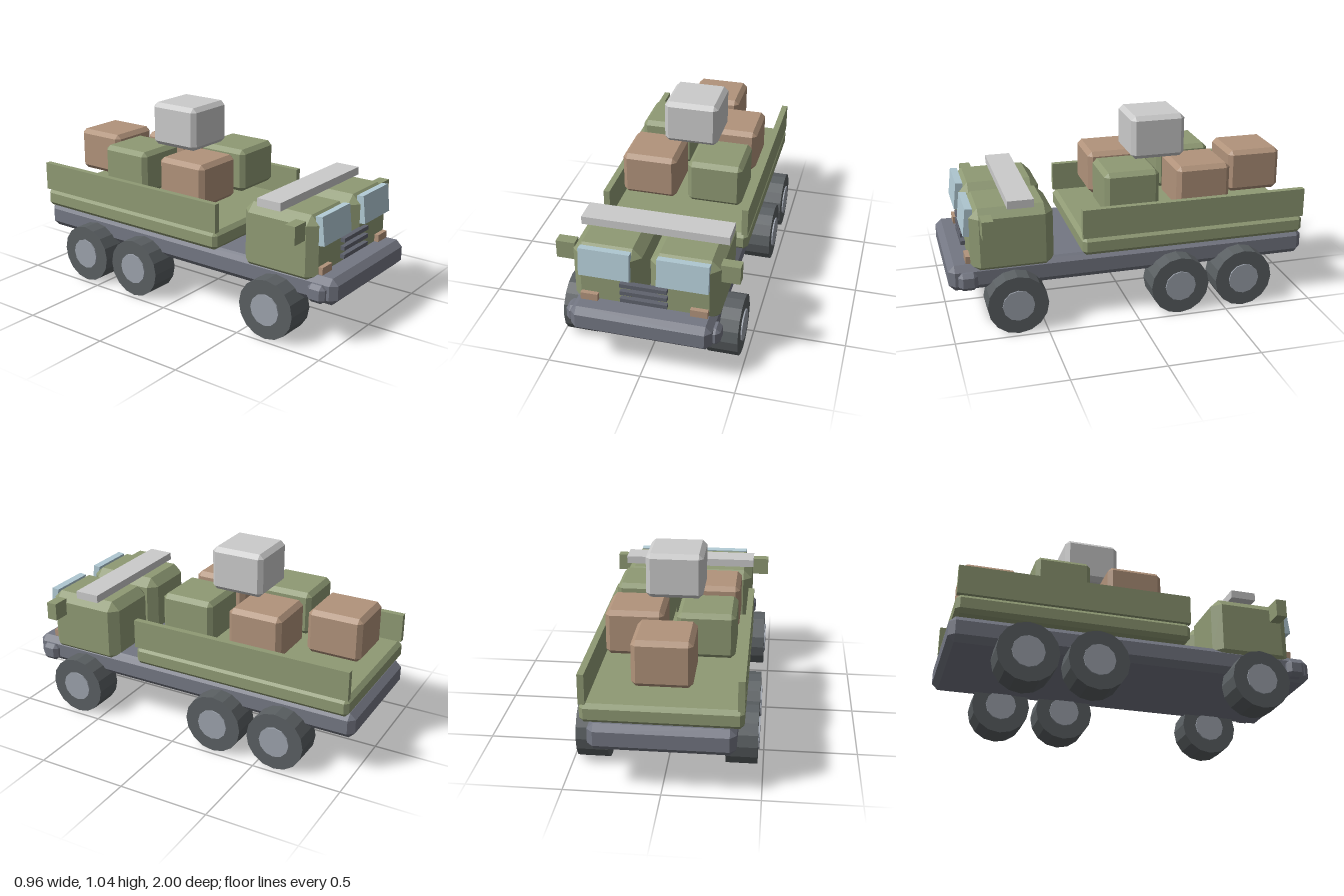
import * as THREE from 'three';
import { ConvexGeometry } from 'three/addons/geometries/ConvexGeometry.js';

const material = (name, color) => {
  const m = new THREE.MeshStandardMaterial({ color, flatShading: true });
  m.name = name;
  return m;
};

// Box with a flat bevel of width c on every edge
function bevelBox(w, h, d, c) {
  const [x, y, z] = [w / 2, h / 2, d / 2];
  const points = [];
  for (const i of [-1, 1]) for (const j of [-1, 1]) for (const k of [-1, 1]) {
    points.push(
      new THREE.Vector3(i * x, j * (y - c), k * (z - c)),
      new THREE.Vector3(i * (x - c), j * y, k * (z - c)),
      new THREE.Vector3(i * (x - c), j * (y - c), k * z));
  }
  return new ConvexGeometry(points);
}

export function createModel() {
  const green = material('olive green', 0x8f9a74);
  const steel = material('chassis grey', 0x747783);
  const dark = material('grille grey', 0x5f626d);
  const tyre = material('tyre grey', 0x5a5f62);
  const hubGrey = material('hub grey', 0x9ca2ac);
  const tan = material('crate tan', 0xb1937b);
  const pale = material('pale grey', 0xcbcbcb);
  const glass = material('window blue', 0xb2cbd5);

  const model = new THREE.Group();
  model.name = 'cargoTruck';

  const add = (name, geometry, mat, x, y, z) => {
    const mesh = new THREE.Mesh(geometry, mat);
    mesh.name = name;
    mesh.position.set(x, y, z);
    model.add(mesh);
    return mesh;
  };
  // Plain or bevelled box given by its extents
  const box = (name, mat, [x0, x1], [y0, y1], [z0, z1], bevel = 0) => {
    const size = [x1 - x0, y1 - y0, z1 - z0];
    const geometry = bevel ? bevelBox(...size, bevel) : new THREE.BoxGeometry(...size);
    return add(name, geometry, mat, (x0 + x1) / 2, (y0 + y1) / 2, (z0 + z1) / 2);
  };
  // Extents on the left (+1) or right (-1) side
  const onSide = (s, a, b) => (s > 0 ? [a, b] : [-b, -a]);

  // Chassis, bumper and load bed
  box('chassis', steel, [-0.37, 0.37], [0.227, 0.37], [-1, 1], 0.033);
  box('bumper', steel, [-0.405, 0.405], [0.24, 0.338], [0.85, 0.952], 0.022);
  box('bedFloor', green, [-0.406, 0.406], [0.37, 0.472], [-0.978, 0.288], 0.022);

  for (const s of [1, -1]) {
    box('bedRail', green, onSide(s, 0.372, 0.406), [0.472, 0.633], [-0.976, 0.288]);

    // Twin cab halves with windscreen, mirror and lamp
    box('cab', green, onSide(s, 0.022, 0.383), [0.31, 0.676], [0.435, 0.88], 0.048);
    const pane = add('windscreen', new THREE.BoxGeometry(0.267, 0.152, 0.04), glass, s * 0.203, 0.6, 0.884);
    pane.rotation.x = -0.11;
    box('mirror', green, onSide(s, 0.378, 0.478), [0.554, 0.653], [0.768, 0.828]);
    box('lamp', tan, onSide(s, 0.242, 0.333), [0.368, 0.41], [0.87, 0.905]);

    // Three axles
    for (const z of [0.655, -0.24, -0.608]) {
      const tyreGeometry = new THREE.CylinderGeometry(0.163, 0.163, 0.165, 16);
      const hubGeometry = new THREE.CylinderGeometry(0.086, 0.086, 0.182, 12);
      add('tyre', tyreGeometry.rotateZ(Math.PI / 2), tyre, s * 0.388, 0.163, z);
      add('wheelHub', hubGeometry.rotateZ(Math.PI / 2), hubGrey, s * 0.387, 0.163, z);
    }
  }

  // Grille bars between the cab halves
  for (const y of [0.401, 0.446, 0.491]) {
    box('grilleBar', dark, [-0.123, 0.123], [y - 0.011, y + 0.011], [0.875, 0.905]);
  }

  box('roofBar', pale, [-0.39, 0.39], [0.676, 0.72], [0.542, 0.683]);

  // Crates stacked over the bed
  const crate = bevelBox(0.304, 0.243, 0.304, 0.024);
  for (const [x, y, z, mat] of [
    [-0.185, 0.675, -0.004, tan], [0.185, 0.675, -0.004, green],
    [-0.185, 0.675, -0.408, green], [0.185, 0.675, -0.408, tan],
    [0, 0.675, -0.778, tan], [0, 0.919, -0.205, pale],
  ]) add('crate', crate, mat, x, y, z);

  return model;
}
